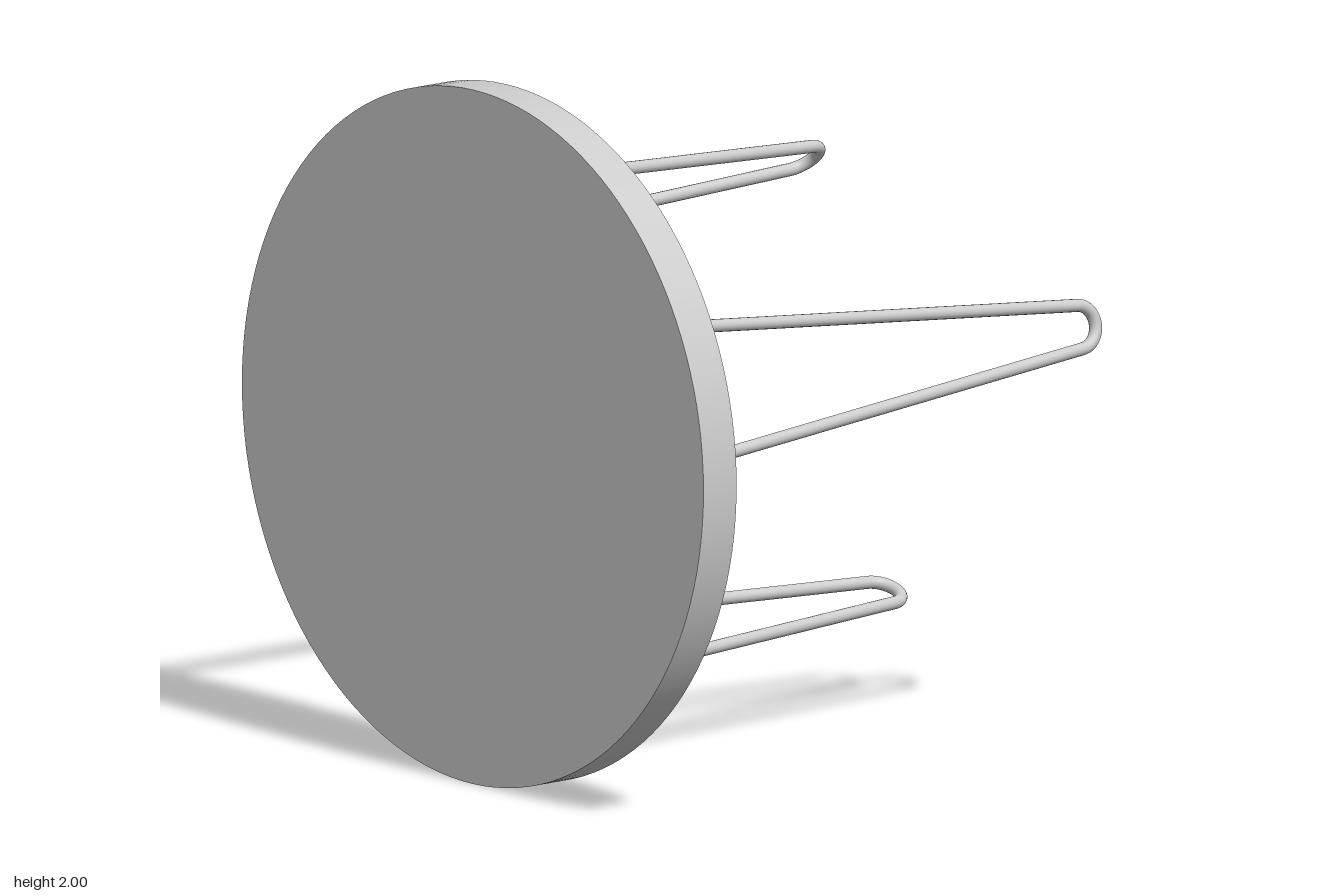
import * as THREE from 'three';
import { mergeGeometries } from 'three/addons/utils/BufferGeometryUtils.js';

const rod = 0.0185;     // rod radius
const bend = 0.062;     // bend radius
const lean = 0.0893;    // lean of each rod away from the leg axis
const bendY = 0.79;     // centre of the bend along the leg axis
const footY = -0.75;    // where the rods meet the top

// Hairpin leg lying in the XY plane, bend at +y, then turned to point to -z
function hairpinGeometry() {
  const parts = [];
  const arc = new THREE.TorusGeometry(bend, rod, 16, 24, Math.PI - 2 * lean);
  parts.push(arc.rotateZ(lean).translate(0, bendY, 0));

  for (const side of [-1, 1]) {
    const tip = new THREE.Vector3(side * bend * Math.cos(lean), bendY + bend * Math.sin(lean), 0);
    const foot = new THREE.Vector3(side * 0.2, footY, 0);
    const dir = tip.clone().sub(foot);
    const straight = new THREE.CylinderGeometry(rod, rod, dir.length(), 16);
    straight.applyQuaternion(new THREE.Quaternion().setFromUnitVectors(
      new THREE.Vector3(0, 1, 0), dir.clone().normalize()));
    const mid = tip.clone().add(foot).multiplyScalar(0.5);
    parts.push(straight.translate(mid.x, mid.y, mid.z));
  }
  return mergeGeometries(parts).rotateX(-Math.PI / 2);
}

export function createModel() {
  const group = new THREE.Group();
  group.name = 'hairpinTable';
  const material = new THREE.MeshStandardMaterial({ color: 0xcccccc });

  // Round table top, standing on its rim
  const top = new THREE.Mesh(new THREE.CylinderGeometry(1, 1, 0.123, 128).rotateX(Math.PI / 2), material);
  top.name = 'tableTop';
  top.position.set(0, 1, 0.8085);
  group.add(top);

  // Three hairpin legs spaced evenly around the top
  const legGeometry = hairpinGeometry();
  for (let i = 0; i < 3; i++) {
    const turn = (i * 2 * Math.PI) / 3;
    const angle = THREE.MathUtils.degToRad(16.2) + turn;
    const leg = new THREE.Mesh(legGeometry, material);
    leg.name = `hairpinLeg${i + 1}`;
    leg.position.set(0.72 * Math.cos(angle), 1 + 0.72 * Math.sin(angle), 0);
    leg.rotation.z = THREE.MathUtils.degToRad(101) + turn;
    group.add(leg);
  }
  return group;
}
